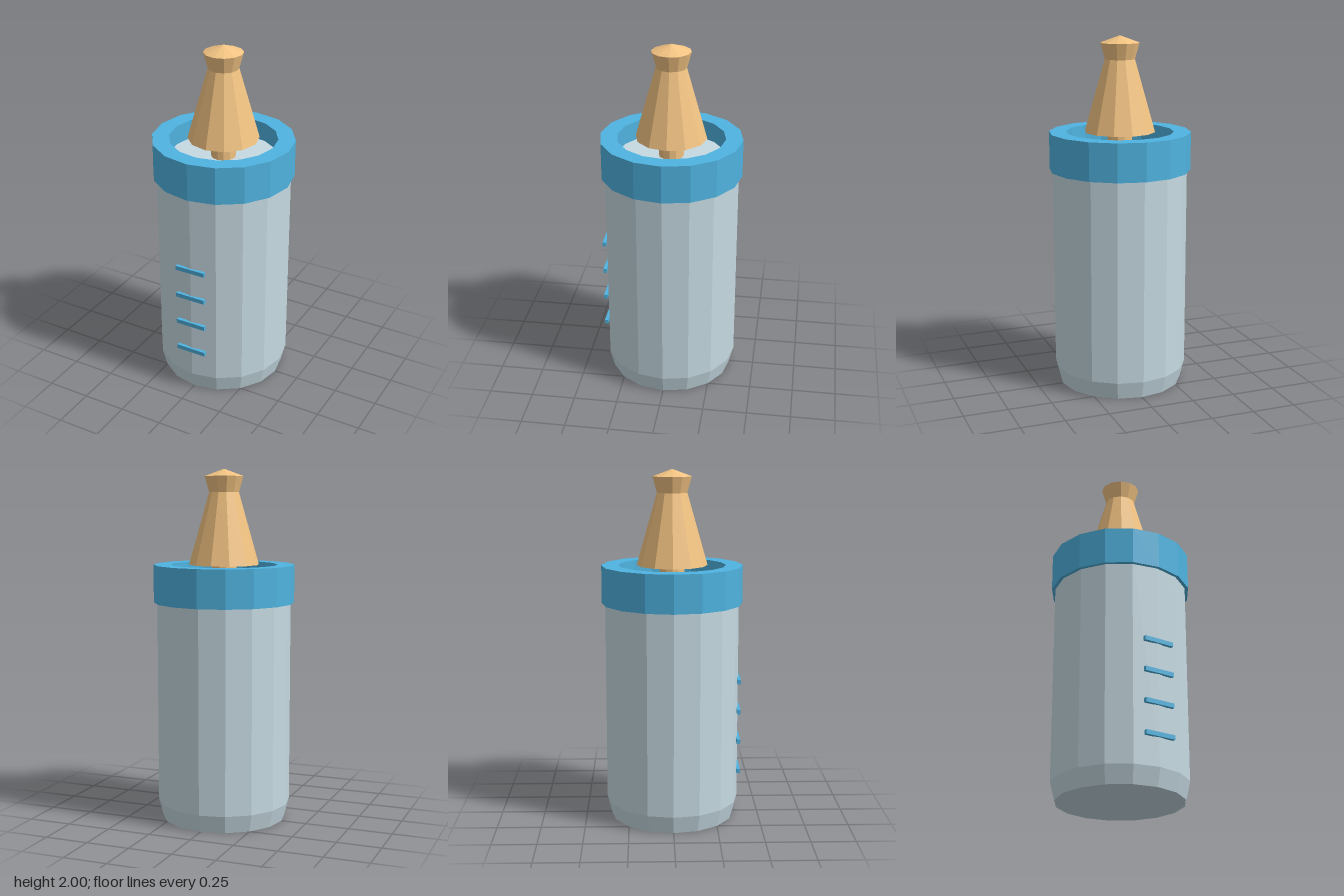
import * as THREE from 'three';

const paint = (color) => new THREE.MeshStandardMaterial({ color, flatShading: true });

// Faceted solid of revolution; the profile runs up the outside as [radius, height]
function turned(name, profile, sides, material) {
  const points = profile.map(([r, y]) => new THREE.Vector2(r, y));
  const mesh = new THREE.Mesh(new THREE.LatheGeometry(points, sides), material);
  mesh.name = name;
  return mesh;
}

export function createModel() {
  const group = new THREE.Group();
  group.name = 'babyBottle';
  const glass = paint(0xc6dae2);
  const blue = paint(0x4fb3e0);
  const rubber = paint(0xf2c382);

  // Bottle body with chamfered foot, closed inside the collar
  group.add(turned('body', [[0, 0], [0.355, 0], [0.38, 0.1], [0.38, 1.355], [0, 1.355]], 16, glass));

  // Screw collar, an open ring
  group.add(turned('collar',
    [[0.4, 1.25], [0.4, 1.465], [0.304, 1.465], [0.304, 1.25], [0.4, 1.25]], 16, blue));

  // Teat with flared tip, joined to the body by a slim hidden stem
  group.add(turned('teat',
    [[0, 1.355], [0.07, 1.355], [0.07, 1.465], [0.2, 1.465], [0.085, 1.87], [0.11, 1.96], [0, 2]], 12, rubber));

  // Measuring marks on the front
  const markShape = new THREE.BoxGeometry(0.18, 0.025, 0.02);
  for (let i = 0; i < 4; i++) {
    const mark = new THREE.Mesh(markShape, blue);
    mark.name = `measuringMark${i + 1}`;
    mark.position.set(0, 0.272 + i * 0.177, 0.381);
    group.add(mark);
  }
  return group;
}
